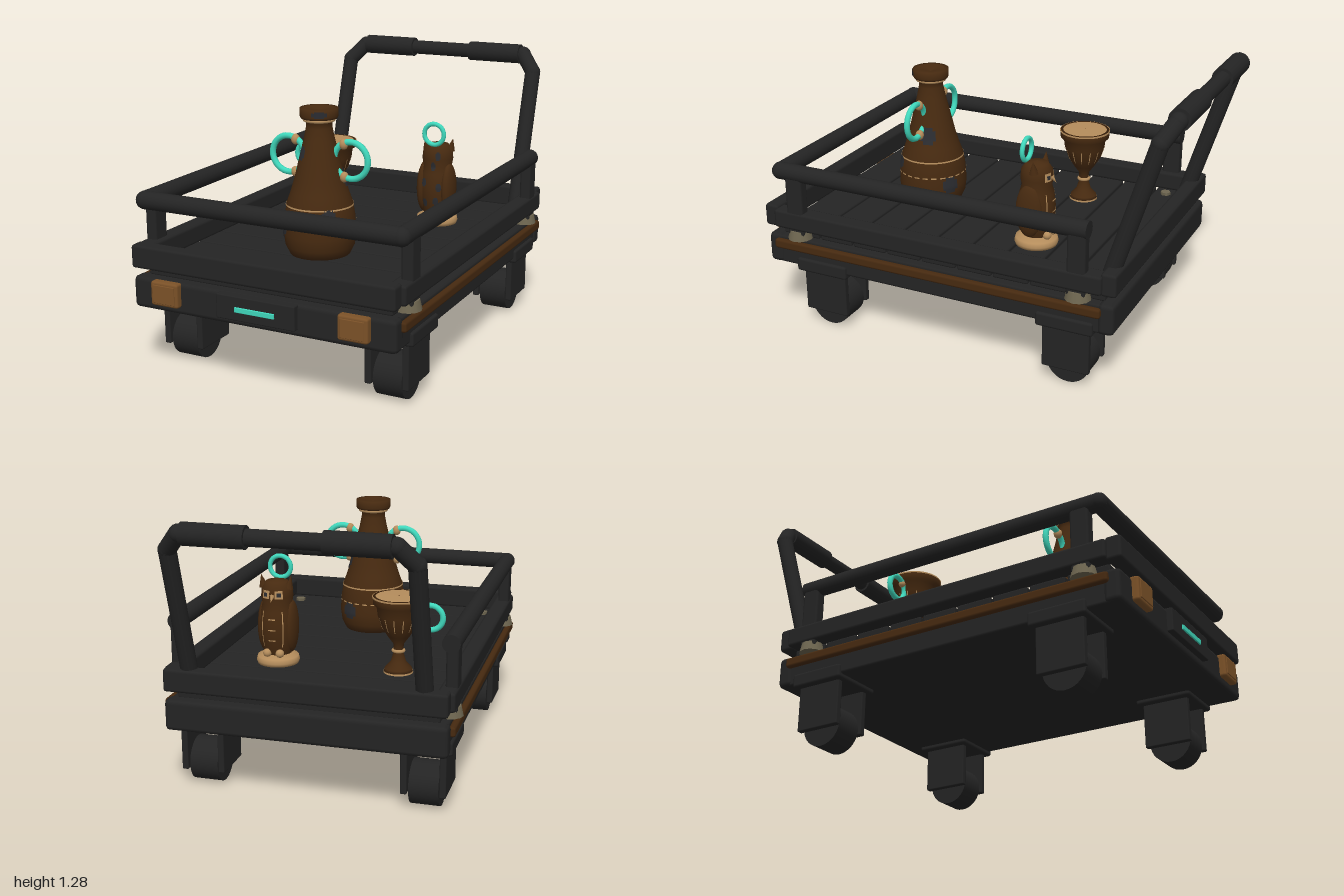
import * as THREE from 'three';
import { RoundedBoxGeometry } from 'three/addons/geometries/RoundedBoxGeometry.js';

const paint = (name, color, side = THREE.FrontSide) => {
  const m = new THREE.MeshStandardMaterial({ color, side });
  m.name = name;
  return m;
};

export function createModel() {
  const black = paint('black', 0x242424);
  const brown = paint('dark brown', 0x472a10, THREE.DoubleSide);
  const teal = paint('teal', 0x40d8bc);
  const tan = paint('tan', 0xb58d5c, THREE.DoubleSide);
  const brass = paint('dull brass', 0x6e6650);
  const amber = paint('amber', 0x7c5228);
  const slate = paint('slate', 0x2b2c30, THREE.DoubleSide);

  const root = new THREE.Group();
  root.name = 'cart';
  const group = (name, x = 0, y = 0, z = 0) => {
    const g = new THREE.Group();
    g.name = name;
    g.position.set(x, y, z);
    root.add(g);
    return g;
  };
  const add = (parent, name, geo, mat, x = 0, y = 0, z = 0) => {
    const m = new THREE.Mesh(geo, mat);
    m.name = name;
    m.position.set(x, y, z);
    parent.add(m);
    return m;
  };
  // bevelled box given by its extents
  const box = (parent, name, mat, x0, x1, y0, y1, z0, z1, bevel = 0.012) => add(parent, name,
    new RoundedBoxGeometry(x1 - x0, y1 - y0, z1 - z0, 1, bevel), mat, (x0 + x1) / 2, (y0 + y1) / 2, (z0 + z1) / 2);
  // round bar between two points
  const bar = (parent, name, a, b, r) => {
    const p = new THREE.Vector3(...a), d = new THREE.Vector3(...b).sub(p);
    const m = add(parent, name, new THREE.CylinderGeometry(r, r, d.length(), 16), black);
    m.position.copy(p).addScaledVector(d, 0.5);
    m.quaternion.setFromUnitVectors(new THREE.Vector3(0, 1, 0), d.normalize());
    return m;
  };
  const ball = (parent, name, mat, r, x, y, z) => add(parent, name, new THREE.SphereGeometry(r, 14, 10), mat, x, y, z);
  const ring = (parent, name, R, r, x, y, z) => add(parent, name, new THREE.TorusGeometry(R, r, 10, 40), teal, x, y, z);

  // chassis
  const chassis = group('chassis');
  box(chassis, 'base', black, -0.62, 0.62, 0.3, 0.438, -0.73, 0.92);
  box(chassis, 'frontBeam', black, -0.63, 0.63, 0.3, 0.445, 0.88, 0.955, 0.022);
  box(chassis, 'backBeam', black, -0.63, 0.63, 0.3, 0.445, -0.775, -0.7, 0.022);
  for (const s of [-1, 1]) {
    const x = s * 0.634;
    box(chassis, 'sideBumper', brown, x - 0.016, x + 0.016, 0.382, 0.428, -0.72, 0.91);
    box(chassis, 'headlight', amber, s * 0.45 - 0.069, s * 0.45 + 0.069, 0.336, 0.446, 0.94, 0.985);
    box(chassis, 'headlightFace', amber, s * 0.45 - 0.055, s * 0.45 + 0.055, 0.35, 0.432, 0.98, 0.989, 0.003);
  }
  box(chassis, 'frontPanel', black, -0.188, 0.188, 0.334, 0.442, 0.94, 0.982, 0.006);
  box(chassis, 'frontLight', teal, -0.095, 0.095, 0.374, 0.397, 0.98, 0.989, 0.003);

  // deck planks with narrow gaps
  const deck = group('deck');
  const gaps = [-0.725, -0.545, -0.368, -0.19, -0.014, 0.164, 0.342, 0.52, 0.697, 0.9];
  for (let i = 0; i < gaps.length - 1; i++)
    box(deck, 'plank', black, -0.585, 0.585, 0.438, 0.49, gaps[i] + 0.005, gaps[i + 1] - 0.005, 0.008);

  // tray frame
  const tray = group('tray');
  for (const z of [0.93, -0.745]) box(tray, 'endRail', black, -0.628, 0.628, 0.482, 0.588, z - 0.036, z + 0.036, 0.014);
  for (const s of [-1, 1])
    box(tray, 'sideRail', black, s * 0.605 - 0.041, s * 0.605 + 0.041, 0.488, 0.577, -0.722, 0.905, 0.014);

  // guard rails, posts, collars and deck bolts
  const guard = group('guardRail');
  for (const s of [-1, 1]) {
    bar(guard, 'sideGuard', [s * 0.61, 0.765, -0.65], [s * 0.61, 0.765, 0.87], 0.04);
    ball(guard, 'cornerJoint', black, 0.041, s * 0.61, 0.765, 0.87);
    for (const z of [0.79, -0.605]) {
      box(guard, 'post', black, s * 0.615 - 0.027, s * 0.615 + 0.027, 0.46, 0.765, z - 0.043, z + 0.043);
      add(guard, 'collar', new THREE.CylinderGeometry(0.048, 0.058, 0.044, 12), brass, s * 0.604, 0.463, z);
      add(guard, 'bolt', new THREE.CylinderGeometry(0.025, 0.025, 0.016, 6), brass, s * 0.505, 0.496, z - 0.008);
    }
  }
  bar(guard, 'frontGuard', [-0.61, 0.765, 0.87], [0.61, 0.765, 0.87], 0.04);

  // push handle
  const handle = group('pushHandle');
  for (const s of [-1, 1]) {
    const foot = [s * 0.52, 0.48, -0.7], knee = [s * 0.52, 1.15, -0.905], top = [s * 0.45, 1.23, -0.952];
    bar(handle, 'handleLeg', foot, knee, 0.038);
    bar(handle, 'handleElbow', knee, top, 0.038);
    ball(handle, 'handleJoint', black, 0.039, ...knee);
    ball(handle, 'handleJoint', black, 0.039, ...top);
    bar(handle, 'grip', [s * 0.16, 1.23, -0.952], [s * 0.435, 1.23, -0.952], 0.049);
  }
  bar(handle, 'crossBar', [-0.45, 1.23, -0.952], [0.45, 1.23, -0.952], 0.036);

  // four casters
  for (const s of [-1, 1]) for (const z of [0.67, -0.55]) {
    const c = group('caster', s * 0.503, 0, z);
    box(c, 'mountPlate', black, -0.13, 0.13, 0.28, 0.345, -0.133, 0.133);
    for (const f of [-1, 1])
      box(c, 'forkPlate', black, f * 0.086 - 0.015, f * 0.086 + 0.015, 0.075, 0.3, -0.11, 0.11, 0.006);
    const wheel = add(c, 'wheel', new THREE.CylinderGeometry(0.1, 0.1, 0.132, 32), black, 0, 0.1, 0);
    wheel.rotation.z = Math.PI / 2;
    const axle = add(c, 'axle', new THREE.CylinderGeometry(0.02, 0.02, 0.19, 12), black, 0, 0.1, 0);
    axle.rotation.z = Math.PI / 2;
  }

  // turned bodies: profile is [radius, height] from bottom to top
  const turn = (parent, name, profile, mat) =>
    add(parent, name, new THREE.LatheGeometry(profile.map(p => new THREE.Vector2(...p)), 32), mat);
  const radiusAt = (profile, y) => {
    for (let i = 1; i < profile.length; i++) {
      const [r0, y0] = profile[i - 1], [r1, y1] = profile[i];
      if (y <= y1 && y1 > y0) return r0 + (r1 - r0) * Math.max(0, (y - y0) / (y1 - y0));
    }
    return profile[profile.length - 1][0];
  };
  // thin painted patch that follows a turned body
  const patch = (parent, name, profile, mat, y0, y1, phi = 0, len = Math.PI * 2, lift = 0.003) => {
    const pts = [];
    for (let i = 0; i <= 6; i++) {
      const y = y0 + (y1 - y0) * i / 6;
      pts.push(new THREE.Vector2(radiusAt(profile, y) + lift, y));
    }
    return add(parent, name, new THREE.LatheGeometry(pts, Math.max(2, Math.ceil(len * 6)), phi - len / 2, len), mat);
  };
  const blotch = (parent, profile, y, phi, h, w) => {
    patch(parent, 'blotch', profile, slate, y - h, y + h, phi, w);
    patch(parent, 'blotch', profile, slate, y - h * 0.6, y + h * 0.6, phi, w * 1.6);
  };

  // tall two-handled jar
  const jar = group('tallJar', 0, 0, 0.415);
  const jarShape = [[0, 0.49], [0.135, 0.49], [0.155, 0.53], [0.163, 0.585], [0.158, 0.66], [0.148, 0.72], [0.13, 0.77],
    [0.112, 0.83], [0.088, 0.93], [0.068, 1.01], [0.058, 1.06], [0.057, 1.095], [0.08, 1.1], [0.085, 1.11], [0.085, 1.145], [0.06, 1.147], [0, 1.13]];
  turn(jar, 'jarBody', jarShape, brown);
  patch(jar, 'shoulderLine', jarShape, tan, 0.713, 0.72);
  add(jar, 'neckRing', new THREE.TorusGeometry(0.064, 0.009, 8, 32), tan, 0, 1.094, 0).rotation.x = Math.PI / 2;
  for (let i = 0; i < 24; i++) patch(jar, 'dash', jarShape, tan, 0.638, 0.644, i * Math.PI / 12, 0.16);
  for (const [y, phi, h, w] of [[0.62, -0.95, 0.05, 0.4], [0.84, 1.9, 0.04, 0.4], [0.69, 0.75, 0.03, 0.25],
    [0.6, 2.6, 0.04, 0.3], [0.95, -0.6, 0.03, 0.3], [1.125, 0.5, 0.014, 0.5]]) blotch(jar, jarShape, y, phi, h, w);
  for (const s of [-1, 1]) {
    ring(jar, 'jarHandle', 0.082, 0.014, s * 0.155, 0.924, 0);
    for (const [x, y] of [[0.12, 0.993], [0.122, 0.847]])
      ball(jar, 'handleBead', tan, 0.02, s * x, y, 0).scale.y = 1.2;
  }

  // footed cup
  const cup = group('cup', -0.296, 0, -0.26);
  const cupShape = [[0, 0.49], [0.065, 0.49], [0.062, 0.51], [0.035, 0.54], [0.022, 0.585], [0.024, 0.625], [0.05, 0.66],
    [0.078, 0.705], [0.096, 0.76], [0.102, 0.805], [0.117, 0.81], [0.117, 0.845], [0.105, 0.845], [0.09, 0.76], [0.06, 0.69], [0, 0.66]];
  turn(cup, 'cupBody', cupShape, brown);
  patch(cup, 'rimLine', cupShape, tan, 0.838, 0.846);
  patch(cup, 'footLine', cupShape, tan, 0.49, 0.498);
  add(cup, 'stemRing', new THREE.TorusGeometry(0.024, 0.008, 8, 24), tan, 0, 0.592, 0).rotation.x = Math.PI / 2;
  for (let i = 0; i < 14; i++) patch(cup, 'flute', cupShape, tan, 0.69, 0.755, i * Math.PI / 7, 0.05);
  ring(cup, 'cupHandle', 0.056, 0.013, -0.145, 0.756, 0);
  for (const y of [0.79, 0.715]) ball(cup, 'handleBead', tan, 0.016, y > 0.75 ? -0.108 : -0.096, y, 0);

  // owl figurine facing the push handle
  const owl = group('owlFigurine', 0.275, 0, -0.265);
  const owlShape = [[0.05, 0.51], [0.068, 0.55], [0.082, 0.62], [0.085, 0.68], [0.078, 0.74], [0.068, 0.775], [0.074, 0.81],
    [0.07, 0.85], [0.05, 0.878], [0, 0.888]];
  const foot = [[0, 0.49], [0.095, 0.49], [0.1, 0.505], [0.095, 0.525], [0.06, 0.54], [0, 0.54]];
  turn(owl, 'owlBase', foot, tan);
  turn(owl, 'owlBody', owlShape, brown);
  for (const s of [-1, 1]) {
    const wing = add(owl, 'wing', new THREE.SphereGeometry(1, 16, 12), brown, s * 0.062, 0.665, 0.01);
    wing.scale.set(0.032, 0.125, 0.065);
    const ear = add(owl, 'ear', new THREE.ConeGeometry(0.022, 0.06, 8), brown, s * 0.066, 0.878, -0.012);
    ear.rotation.z = -s * 0.2;
    patch(owl, 'eye', owlShape, tan, 0.808, 0.846, Math.PI + s * 0.42, 0.5);
    patch(owl, 'pupil', owlShape, slate, 0.818, 0.836, Math.PI + s * 0.42, 0.24, 0.006);
    patch(owl, 'bellyEdge', owlShape, tan, 0.58, 0.75, Math.PI + s * 0.6, 0.06);
    ball(owl, 'claw', tan, 0.02, s * 0.03, 0.55, -0.065);
  }
  const beak = add(owl, 'beak', new THREE.ConeGeometry(0.012, 0.035, 6), tan, 0, 0.81, -0.082);
  beak.rotation.x = -2.4;
  for (let i = 0; i < 3; i++) patch(owl, 'bellyDash', owlShape, tan, 0.61 + i * 0.05, 0.616 + i * 0.05, Math.PI, 0.4);
  for (const [y, phi] of [[0.7, -0.45], [0.61, 0.3], [0.68, 0.45], [0.78, 0.1], [0.6, -0.4], [0.83, 0.4]])
    blotch(owl, owlShape, y, phi, 0.02, 0.2);
  ring(owl, 'owlLoop', 0.05, 0.011, 0, 0.932, 0.05);

  return root;
}
